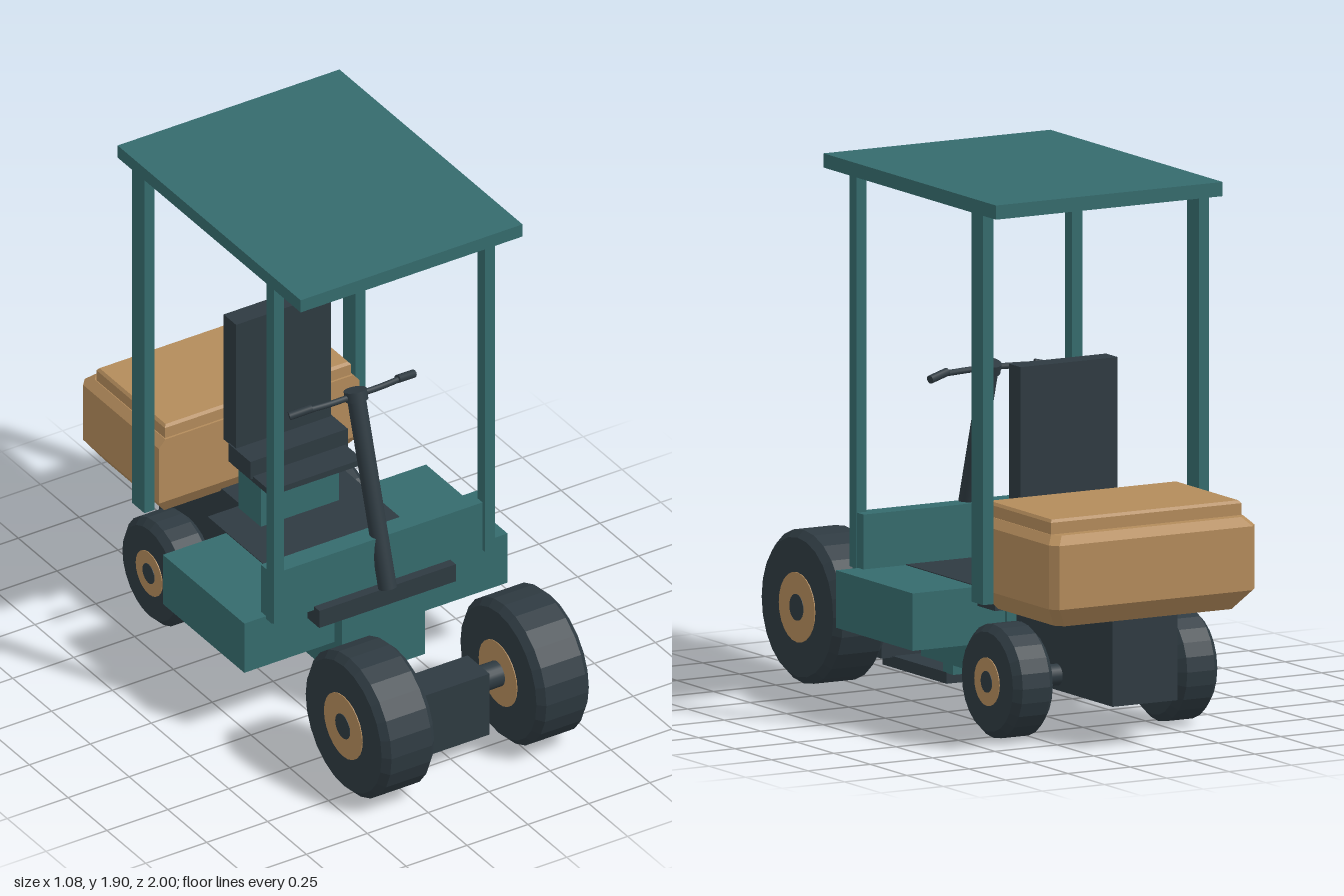
import * as THREE from 'three';
import { ConvexGeometry } from 'three/addons/geometries/ConvexGeometry.js';

const teal = new THREE.MeshStandardMaterial({ color: 0x356b6d });
teal.name = 'teal paint';
const dark = new THREE.MeshStandardMaterial({ color: 0x2e3a41 });
dark.name = 'dark rubber';
const tan = new THREE.MeshStandardMaterial({ color: 0xb38b5b });
tan.name = 'tan panel';

export function createModel() {
  const model = new THREE.Group();
  model.name = 'utilityCart';

  const add = (name, geometry, material, parent = model) => {
    const mesh = new THREE.Mesh(geometry, material);
    mesh.name = name;
    parent.add(mesh);
    return mesh;
  };

  // Box given by its extents along each axis
  const box = (name, material, [x0, x1], [y0, y1], [z0, z1]) => {
    const mesh = add(name, new THREE.BoxGeometry(x1 - x0, y1 - y0, z1 - z0), material);
    mesh.position.set((x0 + x1) / 2, (y0 + y1) / 2, (z0 + z1) / 2);
    return mesh;
  };

  // Cylinder between two points
  const rod = (name, material, a, b, r, sides = 20) => {
    const from = new THREE.Vector3(...a);
    const to = new THREE.Vector3(...b);
    const dir = to.clone().sub(from);
    const mesh = add(name, new THREE.CylinderGeometry(r, r, dir.length(), sides), material);
    mesh.position.copy(from).add(to).multiplyScalar(0.5);
    mesh.quaternion.setFromUnitVectors(new THREE.Vector3(0, 1, 0), dir.normalize());
    return mesh;
  };

  // Wheel: bevelled faceted tyre, tan hub on both faces
  const wheel = (name, side, inner, outer, y, z, r, hubR) => {
    const group = new THREE.Group();
    group.name = name;
    const h = (outer - inner) / 2, b = 0.025;
    const profile = [[0, -h], [r - b, -h], [r, -h + b], [r, h - b], [r - b, h], [0, h]]
      .map(([px, py]) => new THREE.Vector2(px, py));
    const tyre = new THREE.LatheGeometry(profile, 24).toNonIndexed();
    tyre.computeVertexNormals();
    add('tyre', tyre, dark, group);
    add('hub', new THREE.CylinderGeometry(hubR, hubR, 2 * h + 0.006, 24), tan, group);
    group.rotation.z = Math.PI / 2;
    group.position.set(side * (inner + outer) / 2, y, z);
    model.add(group);
  };

  // Canopy
  box('roof', teal, [-0.455, 0.455], [1.86, 1.91], [-0.68, 0.5]);

  // Mirrored parts
  for (const s of [-1, 1]) {
    const span = (a, b) => (s > 0 ? [a, b] : [-b, -a]);
    box('frontPost', teal, span(0.412, 0.453), [0.485, 1.86], [0.278, 0.325]);
    box('rearPost', teal, span(0.412, 0.453), [0.49, 1.86], [-0.59, -0.51]);
    box('sideBox', teal, span(0.17, 0.54), [0.285, 0.487], [-0.255, 0.27]);
    wheel('frontWheel', s, 0.21, 0.425, 0.275, 0.73, 0.27, 0.123);
    wheel('rearWheel', s, 0.25, 0.41, 0.21, -0.545, 0.2, 0.085);
  }

  // Chassis and floor
  box('chassis', teal, [-0.17, 0.17], [0.145, 0.425], [-0.268, 0.318]);
  box('floor', dark, [-0.28, 0.28], [0.42, 0.49], [-0.375, 0.345]);
  box('frontPanel', teal, [-0.45, 0.45], [0.475, 0.68], [0.235, 0.31]);
  box('rearBody', dark, [-0.13, 0.13], [0.155, 0.475], [-0.925, -0.265]);

  // Front axle, its housing and the link to the chassis
  rod('frontAxle', dark, [-0.43, 0.275, 0.73], [0.43, 0.275, 0.73], 0.047);
  box('axleHousing', dark, [-0.135, 0.135], [0.08, 0.33], [0.65, 0.79]);
  box('axleLink', dark, [-0.09, 0.09], [0.045, 0.085], [0.28, 0.72]);
  box('linkBracket', teal, [-0.09, 0.09], [0.083, 0.15], [0.235, 0.305]);
  rod('rearAxle', dark, [-0.415, 0.21, -0.545], [0.415, 0.21, -0.545], 0.038);

  // Seat
  box('seatBase', teal, [-0.16, 0.16], [0.485, 0.7], [-0.365, -0.22]);
  box('seatPlate', dark, [-0.19, 0.19], [0.682, 0.705], [-0.365, -0.115]);
  box('seatCushion', dark, [-0.2, 0.2], [0.695, 0.767], [-0.367, -0.225]);
  box('seatBack', dark, [-0.195, 0.195], [0.762, 1.275], [-0.405, -0.325]);

  // Steering column and handlebar
  rod('steeringColumn', dark, [0, 0.49, 0.345], [0, 1.175, 0.14], 0.033);
  rod('columnCap', dark, [0, 1.155, 0.147], [0, 1.19, 0.136], 0.041);
  const barPath = new THREE.CatmullRomCurve3([
    [-0.19, 1.168, 0.13], [-0.1, 1.17, 0.14], [0, 1.172, 0.142], [0.1, 1.17, 0.14], [0.19, 1.168, 0.13],
  ].map((p) => new THREE.Vector3(...p)));
  add('handlebar', new THREE.TubeGeometry(barPath, 24, 0.011, 10), dark);
  for (const s of [-1, 1]) {
    rod('grip', dark, [s * 0.175, 1.173, 0.133], [s * 0.255, 1.156, 0.112], 0.015, 12);
  }

  // Rear storage box: bevelled below, at the back corners and along the top edge
  const rings = [
    // y, half width, front z, back z
    [0.46, 0.36, -0.53, -0.945],
    [0.53, 0.412, -0.482, -1],
    [0.755, 0.412, -0.482, -1],
    [0.785, 0.385, -0.482, -0.968],
  ];
  const points = [];
  for (const [y, w, front, back] of rings) {
    for (const s of [-1, 1]) {
      points.push(
        new THREE.Vector3(s * w, y, front),
        new THREE.Vector3(s * w, y, back + 0.03),
        new THREE.Vector3(s * (w - 0.025), y, back),
      );
    }
  }
  add('storageBox', new ConvexGeometry(points), tan);
  const lid = [];
  for (const [y, inset] of [[0.78, 0], [0.826, 0], [0.836, 0.008]]) {
    for (const s of [-1, 1]) {
      lid.push(
        new THREE.Vector3(s * (0.382 - inset), y, -0.49 - inset),
        new THREE.Vector3(s * (0.382 - inset), y, -0.932 + inset),
      );
    }
  }
  add('storageLid', new ConvexGeometry(lid), tan);

  return model;
}
